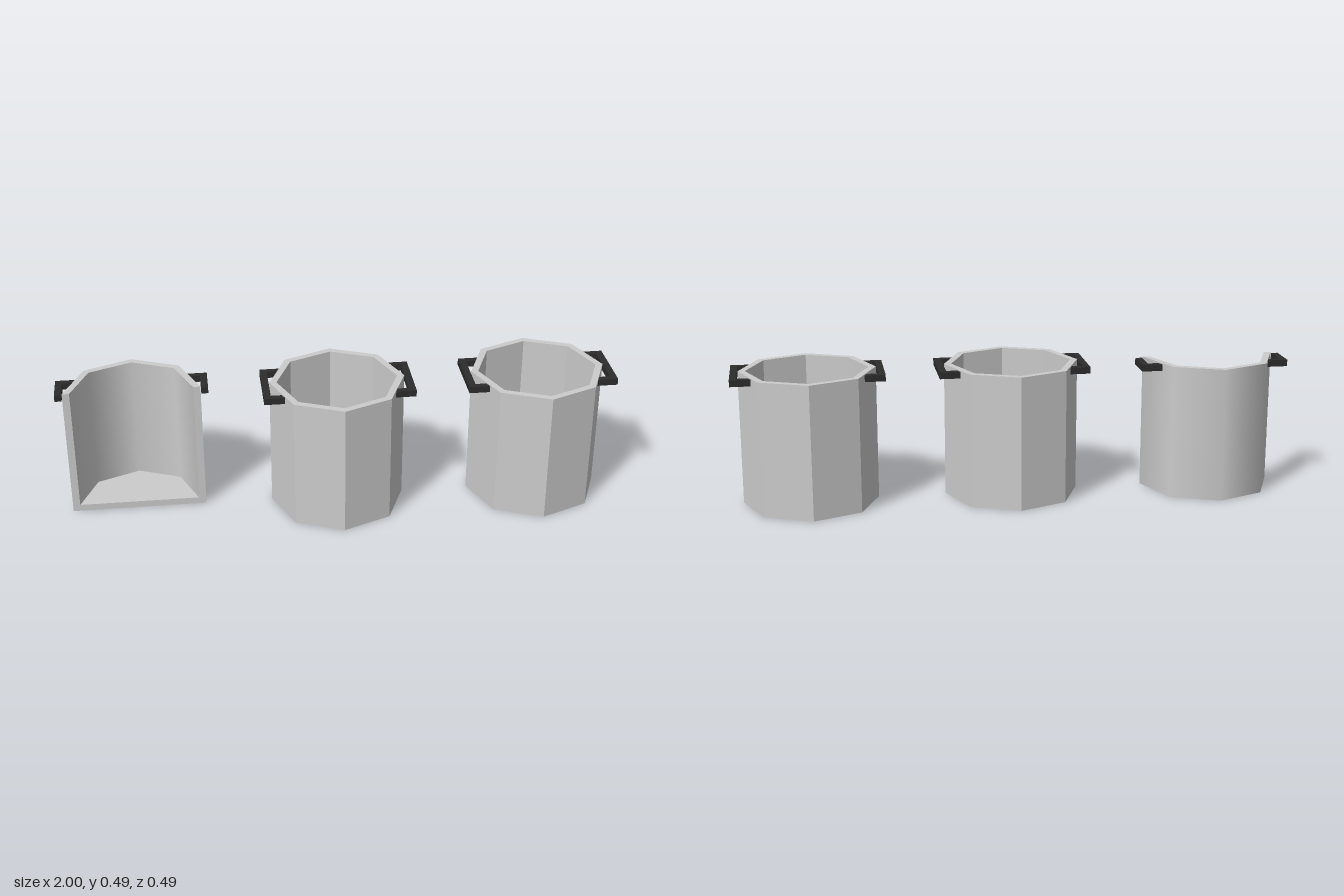
import * as THREE from 'three';

const R = 0.243, RI = 0.217, H = 0.487, FLOOR = 0.025, SPACING = 0.73;

const flatSteel = new THREE.MeshStandardMaterial({ color: 0xcccccc, flatShading: true });
const smoothSteel = new THREE.MeshStandardMaterial({ color: 0xcccccc });
const black = new THREE.MeshStandardMaterial({ color: 0x2c2c2c });

function addMesh(parent, name, geometry, material) {
  const mesh = new THREE.Mesh(geometry, material);
  mesh.name = name;
  parent.add(mesh);
  return mesh;
}

// Square-section bar bracket; the half pot keeps only its rear part
function handleGeometry(side, half) {
  const wall = 0.195, inX = 0.245, outX = 0.27, inZ = 0.09, outZ = 0.112;
  const outline = half
    ? [[wall, -outZ], [outX, -outZ], [outX, 0], [inX, 0], [inX, -inZ], [wall, -inZ]]
    : [[wall, -outZ], [outX, -outZ], [outX, outZ], [wall, outZ],
       [wall, inZ], [inX, inZ], [inX, -inZ], [wall, -inZ]];
  const shape = new THREE.Shape(outline.map(([x, z]) => new THREE.Vector2(side * x, z)));
  const geometry = new THREE.ExtrudeGeometry(shape, { depth: 0.024, bevelEnabled: false });
  return geometry.rotateX(Math.PI / 2).translate(0, 0.483, 0);
}

function makePot(name, x, half) {
  const pot = new THREE.Group();
  pot.name = name;
  pot.position.x = x;

  // Each straight run of the profile is its own lathe, so its borders stay sharp
  const profile = [[0, 0], [R, 0], [R, H], [RI, H], [RI, FLOOR], [0, FLOOR]]
    .map(([px, py]) => new THREE.Vector2(px, py));
  ['underside', 'outerWall', 'rim', 'innerWall', 'floor'].forEach((part, i) => {
    const geometry = new THREE.LatheGeometry([profile[i], profile[i + 1]],
      half ? 4 : 8, half ? Math.PI / 2 : 0, half ? Math.PI : Math.PI * 2);
    addMesh(pot, part, geometry, half ? smoothSteel : flatSteel);
  });

  // Section surface of the cut pot
  if (half) {
    const section = new THREE.Shape([[-R, 0], [R, 0], [R, H], [RI, H], [RI, FLOOR],
      [-RI, FLOOR], [-RI, H], [-R, H]].map(([px, py]) => new THREE.Vector2(px, py)));
    addMesh(pot, 'cutFace', new THREE.ShapeGeometry(section), smoothSteel);
  }

  addMesh(pot, 'leftHandle', handleGeometry(1, half), black);
  addMesh(pot, 'rightHandle', handleGeometry(-1, half), black);
  return pot;
}

export function createModel() {
  const model = new THREE.Group();
  model.name = 'pots';
  model.add(
    makePot('halfPot', -SPACING, true),
    makePot('middlePot', 0, false),
    makePot('leftPot', SPACING, false),
  );
  return model;
}
